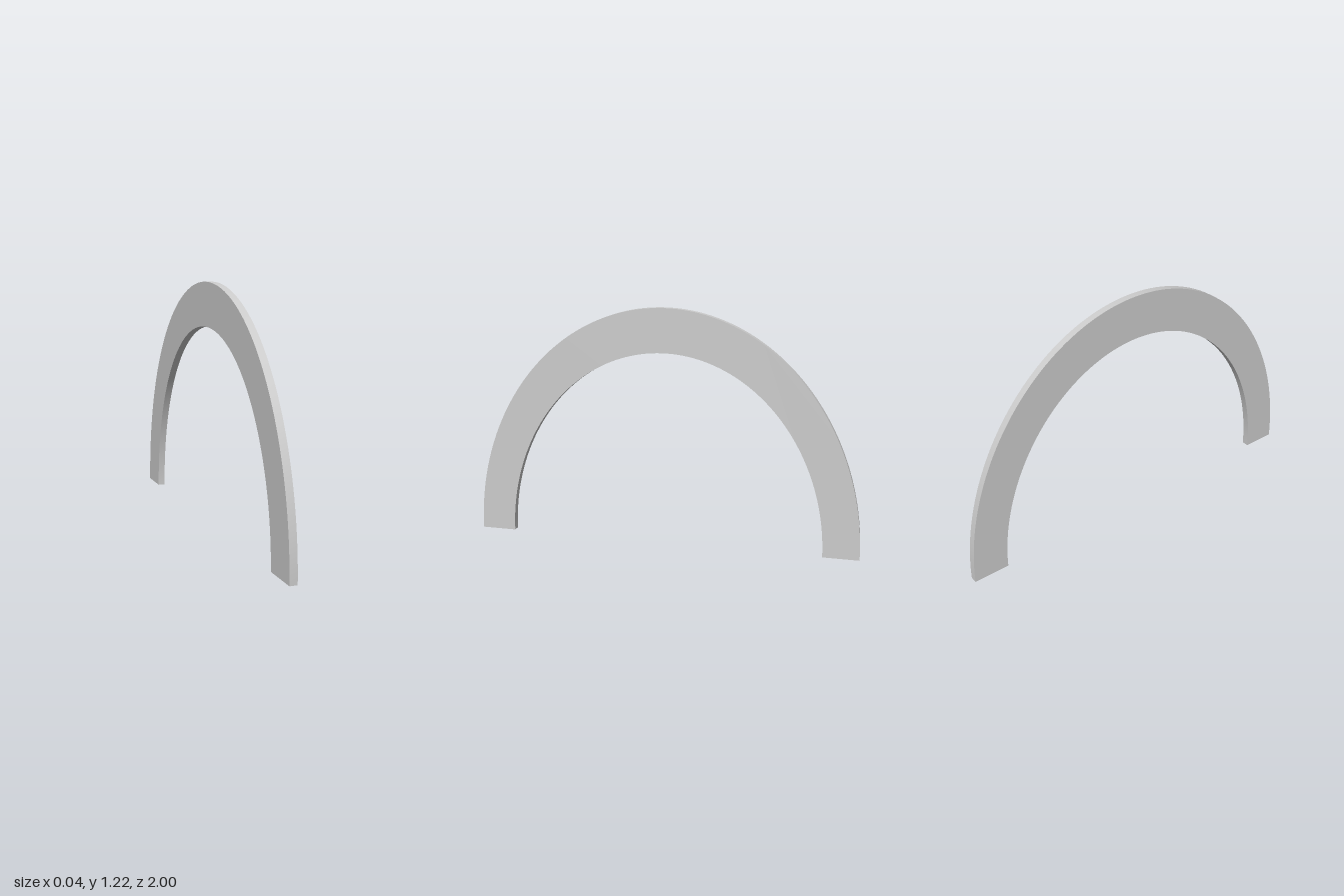
import * as THREE from 'three';
import { toCreasedNormals } from 'three/addons/utils/BufferGeometryUtils.js';

const OUTER = { halfSpan: 1, rise: 1.215 };
const INNER = { halfSpan: 0.818, rise: 0.994 };
const THICKNESS = 0.037;

export function createModel() {
  const group = new THREE.Group();
  group.name = 'archModel';

  // Band between two half ellipses, closed by flat feet
  const profile = new THREE.Shape();
  profile.moveTo(OUTER.halfSpan, 0);
  profile.absellipse(0, 0, OUTER.halfSpan, OUTER.rise, 0, Math.PI, false, 0);
  profile.lineTo(-INNER.halfSpan, 0);
  profile.absellipse(0, 0, INNER.halfSpan, INNER.rise, Math.PI, 0, true, 0);
  profile.closePath();

  // Thin slab, turned so that the arch spans front to back
  const slab = new THREE.ExtrudeGeometry(profile, {
    depth: THICKNESS,
    bevelEnabled: false,
    curveSegments: 48,
  });
  slab.translate(0, 0, -THICKNESS / 2);
  slab.rotateY(Math.PI / 2);

  const arch = new THREE.Mesh(
    toCreasedNormals(slab, Math.PI / 6),
    new THREE.MeshStandardMaterial({ color: 0xcccccc })
  );
  arch.name = 'arch';
  group.add(arch);
  return group;
}
